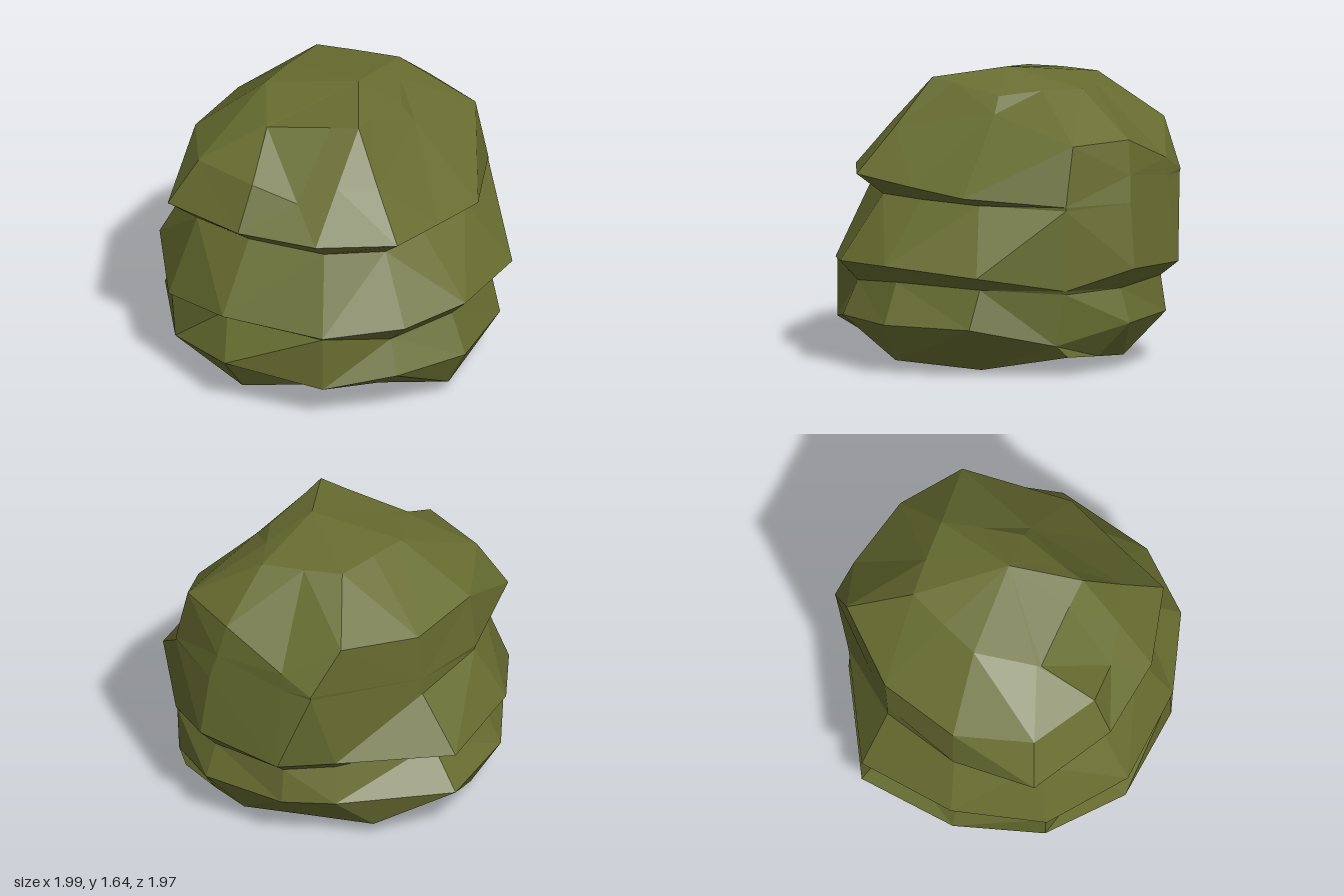
import * as THREE from 'three';

// Cross-section from [degrees from the front towards +x, radius, height] of each ridge
const ring = (ridges) => ridges.map(([deg, r, y]) => {
  const a = THREE.MathUtils.degToRad(deg);
  return new THREE.Vector3(Math.sin(a) * r, y, Math.cos(a) * r);
});

// Faceted skin through a stack of rings, optionally closed by a point below or above
function skin(name, rings, material, { bottom, top } = {}) {
  const points = [];
  const n = rings[0].length;
  const last = rings[rings.length - 1];
  for (let i = 0; i < n; i++) {
    const j = (i + 1) % n;
    if (bottom) points.push(bottom, rings[0][j], rings[0][i]);
    for (let k = 0; k + 1 < rings.length; k++) {
      const a = rings[k][i], b = rings[k][j], c = rings[k + 1][j], d = rings[k + 1][i];
      // split each four-sided facet along its shorter diagonal
      if (a.distanceTo(c) < b.distanceTo(d)) points.push(a, b, c, a, c, d);
      else points.push(a, b, d, b, c, d);
    }
    if (top) points.push(last[i], last[j], top);
  }
  const geometry = new THREE.BufferGeometry().setFromPoints(points);
  geometry.computeVertexNormals();
  const mesh = new THREE.Mesh(geometry, material);
  mesh.name = name;
  return mesh;
}

export function createModel() {
  const olive = new THREE.MeshStandardMaterial({ color: 0x676d30, flatShading: true });
  olive.name = 'olive';

  // Underside rim and widest line of the lower fold
  const base = ring([
    [-4, 0.78, 0.05], [24, 0.62, 0.055], [59, 0.66, 0.063], [82, 0.89, 0.07],
    [115, 0.76, 0.03], [148, 0.89, 0.11], [164, 0.82, 0.09], [180, 0.8, 0.07],
    [209, 0.71, 0.075], [235, 0.805, 0.08], [285, 0.81, 0.08], [320, 0.66, 0.065]]);
  const belly = ring([
    [-3, 0.96, 0.28], [32, 0.93, 0.21], [57, 0.97, 0.28], [83, 1.0, 0.28],
    [113, 0.96, 0.28], [143, 0.91, 0.18], [171, 0.96, 0.28], [201, 0.92, 0.28],
    [220, 0.88, 0.28], [261, 1.01, 0.29], [295, 0.93, 0.27], [327, 0.93, 0.22]]);

  // Crease under the middle fold; it closes up at the pinched ridges
  const lowerCrease = ring([
    [-10, 0.81, 0.515], [32, 0.93, 0.53], [57, 0.88, 0.47], [83, 0.9, 0.51],
    [116, 0.9, 0.5], [146, 0.93, 0.47], [171, 0.89, 0.47], [201, 0.89, 0.48],
    [220, 0.82, 0.49], [261, 0.81, 0.51], [295, 0.83, 0.5], [327, 0.95, 0.49]]);
  const middleLip = ring([
    [-3, 0.98, 0.59], [32, 0.94, 0.54], [59, 1.0, 0.59], [83, 1.0, 0.61],
    [116, 1.02, 0.58], [146, 0.94, 0.49], [171, 1.0, 0.59], [201, 0.99, 0.56],
    [220, 0.88, 0.55], [261, 1.01, 0.54], [295, 0.96, 0.59], [327, 0.97, 0.5]]);

  // Crease under the upper fold; only the front and the left side overhang
  const upperCrease = ring([
    [-3, 0.74, 0.98], [32, 0.74, 0.97], [59, 0.74, 0.95], [83, 0.69, 0.95],
    [114, 0.76, 0.95], [146, 0.94, 0.94], [172, 0.95, 0.95], [201, 0.93, 1.0],
    [212, 0.97, 1.03], [257, 0.79, 0.86], [292, 0.79, 0.9], [327, 0.8, 0.95]]);
  const upperLip = ring([
    [-3, 0.84, 1.06], [29, 0.83, 1.06], [59, 0.9, 1.07], [84, 0.79, 1.03],
    [109, 0.85, 1.0], [146, 0.94, 0.96], [174, 0.92, 1.1], [201, 0.925, 1.04],
    [212, 0.975, 1.05], [257, 0.79, 0.96], [292, 0.8, 0.93], [323, 0.95, 1.04]]);
  const shoulder = ring([
    [-3, 0.71, 1.31], [18, 0.64, 1.22], [38, 0.62, 1.32], [58, 0.66, 1.32],
    [118, 0.475, 1.42], [150, 0.89, 1.29], [176, 0.88, 1.29], [201, 0.92, 1.14],
    [222, 0.89, 1.32], [255, 0.79, 1.25], [291, 0.77, 1.26], [325, 0.78, 1.3]]);
  const brow = ring([
    [-20, 0.43, 1.5], [35, 0.35, 1.555], [56, 0.43, 1.58], [74, 0.36, 1.56],
    [120, 0.395, 1.51], [153, 0.44, 1.54], [173, 0.575, 1.55], [198, 0.5, 1.565],
    [223, 0.52, 1.58], [250, 0.39, 1.58], [285, 0.38, 1.57], [337, 0.42, 1.505]]);

  const model = new THREE.Group();
  model.name = 'foldedBoulder';
  model.add(
    skin('lowerFold', [base, belly, lowerCrease], olive, { bottom: new THREE.Vector3(0.03, 0, 0) }),
    skin('middleFold', [lowerCrease, middleLip, upperCrease], olive),
    skin('upperFold', [upperCrease, upperLip, shoulder], olive),
    skin('crown', [shoulder, brow], olive, { top: new THREE.Vector3(0.12, 1.64, -0.1) }),
  );
  return model;
}
